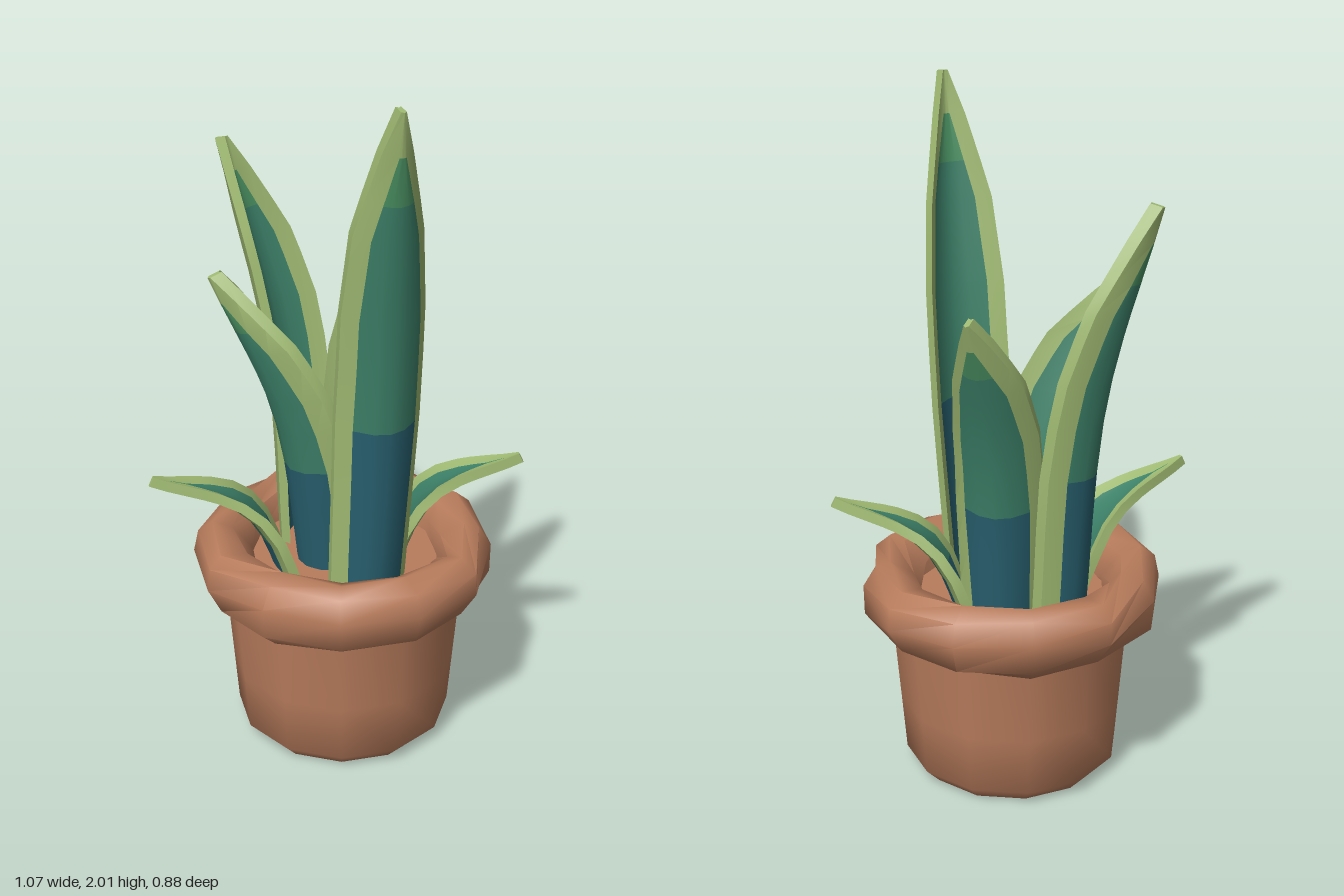
import * as THREE from 'three';
import { toCreasedNormals } from 'three/addons/utils/BufferGeometryUtils.js';

const material = (name, color) => {
  const m = new THREE.MeshStandardMaterial({ color });
  m.name = name;
  return m;
};

// Piecewise linear lookup: pairs of [t, value]
function lookup(pairs, t) {
  for (let i = 1; i < pairs.length; i++) {
    const [t0, a] = pairs[i - 1], [t1, b] = pairs[i];
    if (t <= t1) return a + (b - a) * (t - t0) / (t1 - t0);
  }
  return pairs[pairs.length - 1][1];
}

// Width along the leaf: upright blades stay broad, low leaves taper early
const BLADE = [[0, 0.9], [0.38, 1], [0.6, 0.97], [0.76, 0.8], [0.9, 0.42], [1, 0.06]];
const SPEAR = [[0, 0.95], [0.38, 1], [0.5, 0.86], [0.7, 0.52], [0.87, 0.26], [1, 0.05]];
const ROWS = [0, 0.13, 0.26, 0.38, 0.5, 0.6, 0.7, 0.76, 0.83, 0.92, 1];

// Channel-shaped leaf: pale border, inner panel in three colour bands
function leafGeometry({ path, facing, width, curl, thick, outline = BLADE }) {
  const curve = new THREE.CatmullRomCurve3(path.map(p => new THREE.Vector3(...p)));
  const rings = ROWS.map(t => {
    const p = curve.getPointAt(t), T = curve.getTangentAt(t);
    const a = THREE.MathUtils.degToRad(facing[0] + (facing[1] - facing[0]) * t);
    const S = new THREE.Vector3(Math.cos(a), 0, -Math.sin(a));
    const N = S.clone().cross(T).normalize();
    const w = width * lookup(outline, t);
    const panel = Math.max(0.04, 1 - 0.034 / w);
    const us = [-1, -panel, -panel / 2, 0, panel / 2, panel, 1];
    const at = (u, depth) => p.clone().addScaledVector(S, u * w)
      .addScaledVector(N, -curl * w * u * u - depth);
    return [...us.map(u => at(u, 0)), ...us.map(u => at(u * 0.97, thick)).reverse()];
  });
  const lists = [[], [], [], []]; // border, blue, teal, green
  const tri = (list, ...pts) => pts.forEach(p => list.push(p.x, p.y, p.z));
  for (let i = 0; i < ROWS.length - 1; i++) {
    const band = ROWS[i] < 0.37 ? 1 : ROWS[i] < 0.82 ? 2 : 3;
    for (let k = 0; k < 14; k++) {
      const isPanel = (k > 0 && k < 5) || (k > 7 && k < 12);
      const list = lists[isPanel && ROWS[i] < 0.91 ? band : 0];
      const n = (k + 1) % 14;
      const a = rings[i][k], b = rings[i][n], c = rings[i + 1][n], d = rings[i + 1][k];
      tri(list, a, b, c);
      tri(list, a, c, d);
    }
  }
  const tip = rings[rings.length - 1];
  for (let k = 1; k < 13; k++) tri(lists[0], tip[0], tip[k], tip[k + 1]);

  const geometry = new THREE.BufferGeometry();
  geometry.setAttribute('position', new THREE.Float32BufferAttribute(lists.flat(), 3));
  let start = 0;
  lists.forEach((list, i) => {
    geometry.addGroup(start, list.length / 3, i);
    start += list.length / 3;
  });
  return toCreasedNormals(geometry, 0.7);
}

// Lumpy twelve-sided ring, its section rolled a little from side to side
function rimGeometry() {
  const section = [[-0.02, -0.108], [0.05, -0.075], [0.078, 0.01], [0.06, 0.075], [0.01, 0.105], [-0.05, 0.08], [-0.085, 0.01], [-0.08, -0.09]];
  const sides = 12, n = section.length, pos = [], index = [];
  for (let i = 0; i < sides; i++) {
    const a = i / sides * Math.PI * 2;
    const roll = 0.3 * Math.sin(i * 2.4 + 0.6);
    const c = Math.cos(roll), s = Math.sin(roll);
    section.forEach(([x, y], j) => {
      const lump = j > 3 ? 0.012 * Math.sin(i * 1.9 + j * 2.1) : 0;
      const r = 0.363 + x * c - y * s + lump;
      pos.push(Math.sin(a) * r, 0.553 + x * s + y * c, Math.cos(a) * r);
      const i2 = (i + 1) % sides, j2 = (j + 1) % n;
      const p = i * n + j, q = i2 * n + j, u = i2 * n + j2, v = i * n + j2;
      index.push(p, q, u, p, u, v);
    });
  }
  const geometry = new THREE.BufferGeometry();
  geometry.setAttribute('position', new THREE.Float32BufferAttribute(pos, 3));
  geometry.setIndex(index);
  return toCreasedNormals(geometry, 1.05);
}

export function createModel() {
  const group = new THREE.Group();
  group.name = 'pottedPlant';
  const clay = material('terracotta', 0xb87c5c);
  const leafMaterials = [
    material('paleGreenBorder', 0x9fb972),
    material('deepBlue', 0x28606f),
    material('teal', 0x3d8169),
    material('leafGreen', 0x4a9062),
  ];
  const add = (name, geometry, mat) => {
    const mesh = new THREE.Mesh(geometry, mat);
    mesh.name = name;
    group.add(mesh);
    return mesh;
  };

  // Pot
  const profile = [[0, 0], [0.275, 0], [0.318, 0.045], [0.332, 0.22], [0.352, 0.47]]
    .map(([x, y]) => new THREE.Vector2(x, y));
  add('potBody', toCreasedNormals(new THREE.LatheGeometry(profile, 12), 1.1), clay).position.x = 0.01;
  add('potRim', rimGeometry(), clay).position.x = 0.01;
  const soil = add('soil', new THREE.CircleGeometry(0.33, 12), clay);
  soil.rotation.x = -Math.PI / 2;
  soil.position.y = 0.55;

  // Leaves: facing is the outward angle from +z towards +x, at base and tip
  const leaves = {
    tallFrontLeaf: {
      path: [[0.113, 0.5, 0.225], [0.15, 1.25, 0.275], [0.163, 2, 0.38]],
      facing: [22, 24], width: 0.126, curl: 0.75, thick: 0.035,
    },
    backRightLeaf: {
      path: [[-0.16, 0.5, -0.2], [-0.21, 1.17, -0.23], [-0.355, 1.74, -0.26]],
      facing: [230, 242], width: 0.118, curl: 0.7, thick: 0.035,
    },
    middleLeaf: {
      path: [[-0.09, 0.5, 0.07], [-0.17, 1.02, 0.1], [-0.355, 1.46, 0.1]],
      facing: [-42, -70], width: 0.135, curl: 0.75, thick: 0.035,
    },
    backLeftLeaf: {
      path: [[0.07, 0.5, -0.21], [0.11, 1.05, -0.27], [0.185, 1.48, -0.385]],
      facing: [170, 150], width: 0.125, curl: 0.75, thick: 0.035,
    },
    smallLeftLeaf: {
      path: [[0.15, 0.42, -0.05], [0.28, 0.725, -0.045], [0.53, 0.85, -0.02]],
      facing: [90, 88], width: 0.115, curl: 0.22, thick: 0.03, outline: SPEAR,
    },
    smallRightLeaf: {
      path: [[-0.15, 0.42, 0.04], [-0.28, 0.725, 0.07], [-0.535, 0.85, 0.15]],
      facing: [-75, -70], width: 0.115, curl: 0.22, thick: 0.03, outline: SPEAR,
    },
  };
  for (const [name, spec] of Object.entries(leaves)) add(name, leafGeometry(spec), leafMaterials);
  return group;
}
